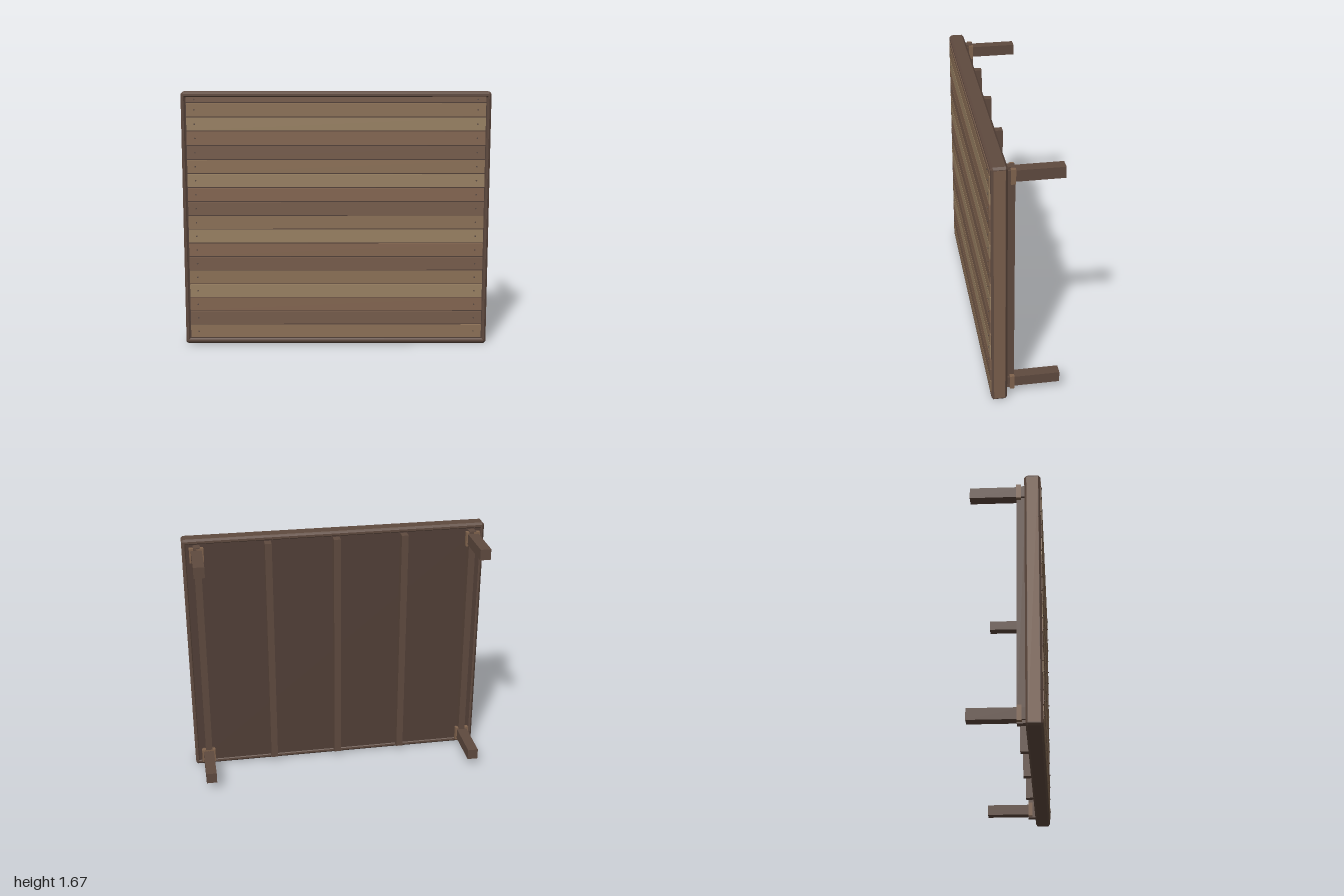
import * as THREE from 'three';

const mat = (color) => new THREE.MeshStandardMaterial({ color, flatShading: true });

// Chamfered rectangle outline between two corners
function outline(P, x0, y0, x1, y1, c) {
  const p = new P();
  p.moveTo(x0 + c, y0);
  p.lineTo(x1 - c, y0);
  p.lineTo(x1, y0 + c);
  p.lineTo(x1, y1 - c);
  p.lineTo(x1 - c, y1);
  p.lineTo(x0 + c, y1);
  p.lineTo(x0, y1 - c);
  p.lineTo(x0, y0 + c);
  p.closePath();
  return p;
}

export function createModel() {
  const model = new THREE.Group();
  const dark = mat(0x5f4a3f), rail = mat(0x795d4b), panelMat = mat(0x513f37);
  const bracketMat = mat(0x80634d), screwMat = mat(0x5a4a42);
  const plankMats = [0x8b7056, 0x765c4b, 0x836550, 0x988062].map(mat);

  const add = (name, geometry, material, x, y, z) => {
    const mesh = new THREE.Mesh(geometry, material);
    mesh.name = name;
    mesh.position.set(x, y, z);
    model.add(mesh);
    return mesh;
  };
  // Box given by its centre x, centre y and z range
  const box = (name, material, w, h, z0, z1, x, y) =>
    add(name, new THREE.BoxGeometry(w, h, z1 - z0), material, x, y, (z0 + z1) / 2);

  // Bevelled rim around the deck
  const H = 1.675, B = 0.013;
  const rim = outline(THREE.Shape, -1 + B, B, 1 - B, H - B, 0.005);
  const hx = 0.968 + B, hy = 0.04 - B;
  rim.holes.push(new THREE.Path([
    [-hx, hy], [-hx, H - hy], [hx, H - hy], [hx, hy],
  ].map(([x, y]) => new THREE.Vector2(x, y))));
  add('rim', new THREE.ExtrudeGeometry(rim, {
    depth: 0.074, bevelEnabled: true, bevelThickness: B, bevelSize: B, bevelSegments: 1,
  }), dark, 0, 0, 0.128);
  for (const s of [-1, 1]) box('sideFascia', rail, 0.006, H - 0.036, 0.13, 0.2, s * 0.9975, H / 2);

  // Backing panel behind the planks
  box('backPanel', panelMat, 1.95, H - 0.06, 0.12, 0.206, 0, H / 2);

  // Planks with one screw near each end; the last plank is cut narrow
  const pitch = 0.092, start = 0.046, end = 1.643;
  const screw = new THREE.CylinderGeometry(0.005, 0.005, 0.008, 8);
  screw.rotateX(Math.PI / 2);
  for (let i = 0; i < 18; i++) {
    const y0 = start + i * pitch;
    const y1 = Math.min(y0 + pitch - 0.008, end);
    const y = (y0 + y1) / 2;
    box('plank', plankMats[i % 4], 1.93, y1 - y0, 0.2, 0.219, 0, y);
    for (const s of [-1, 1]) add('screw', screw, screwMat, s * 0.913, y, 0.22);
  }

  // Joists running the full height of the back
  for (const x of [-0.907, -0.45, 0, 0.45, 0.907]) {
    box('joist', dark, 0.045, 1.6, 0.063, 0.125, x, H / 2);
  }

  // Four legs, each held by a collar
  for (const x of [-0.91, 0.91]) {
    for (const y of [0.094, H - 0.09]) {
      box('leg', dark, 0.07, 0.072, -0.228, 0.12, x, y);
      box('legCollar', bracketMat, 0.092, 0.096, 0.063, 0.092, x, y);
    }
  }
  return model;
}
